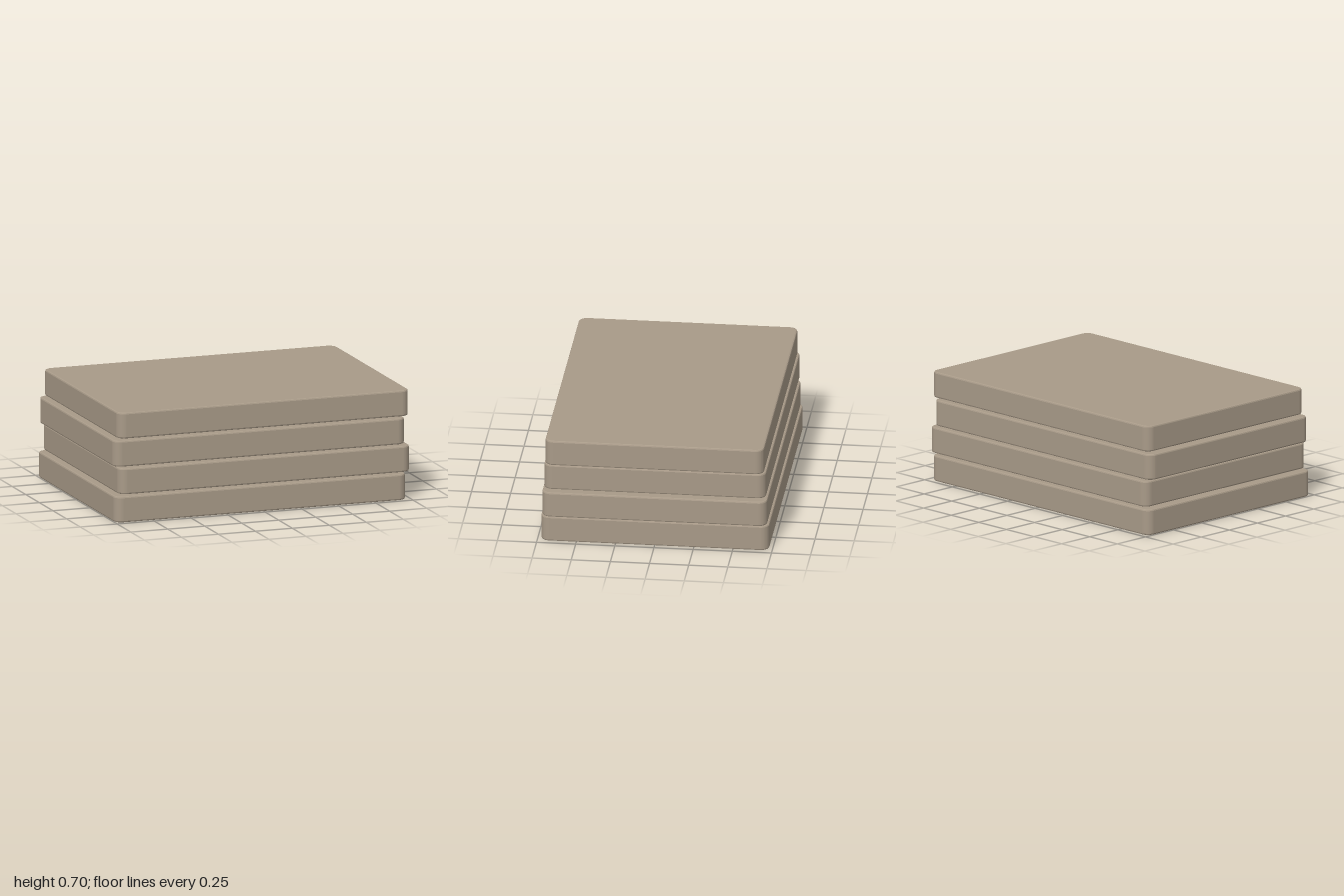
import * as THREE from 'three';

const BEVEL = 0.01;

// Rounded rectangle outline, w by d, centred on the origin
function roundedRect(w, d, r) {
  const x = w / 2, y = d / 2, s = new THREE.Shape();
  s.absarc(x - r, y - r, r, 0, Math.PI / 2);
  s.absarc(-x + r, y - r, r, Math.PI / 2, Math.PI);
  s.absarc(-x + r, -y + r, r, Math.PI, Math.PI * 1.5);
  s.absarc(x - r, -y + r, r, Math.PI * 1.5, Math.PI * 2);
  s.closePath();
  return s;
}

// Flat slab with rounded corners and softened rims, base on y = 0
function slabGeometry(w, h, d) {
  const geo = new THREE.ExtrudeGeometry(roundedRect(w - 2 * BEVEL, d - 2 * BEVEL, 0.045), {
    depth: h - 2 * BEVEL,
    bevelEnabled: true,
    bevelThickness: BEVEL,
    bevelSize: BEVEL,
    bevelSegments: 2,
    curveSegments: 8,
  });
  geo.translate(0, 0, BEVEL);
  geo.rotateX(-Math.PI / 2);
  return geo;
}

export function createModel() {
  const model = new THREE.Group();
  model.name = 'slabStack';
  const stone = new THREE.MeshStandardMaterial({ color: 0xa89a88 });
  stone.name = 'warm grey stone';

  // Four slabs, staggered left and right, each a little shallower than the one below
  for (let i = 0; i < 4; i++) {
    const slab = new THREE.Mesh(slabGeometry(1.97, 0.168, 1.456 - i * 0.02), stone);
    slab.name = `slab${i + 1}`;
    slab.position.set(i % 2 ? 0.015 : -0.015, i * 0.179, 0);
    model.add(slab);
  }
  return model;
}
